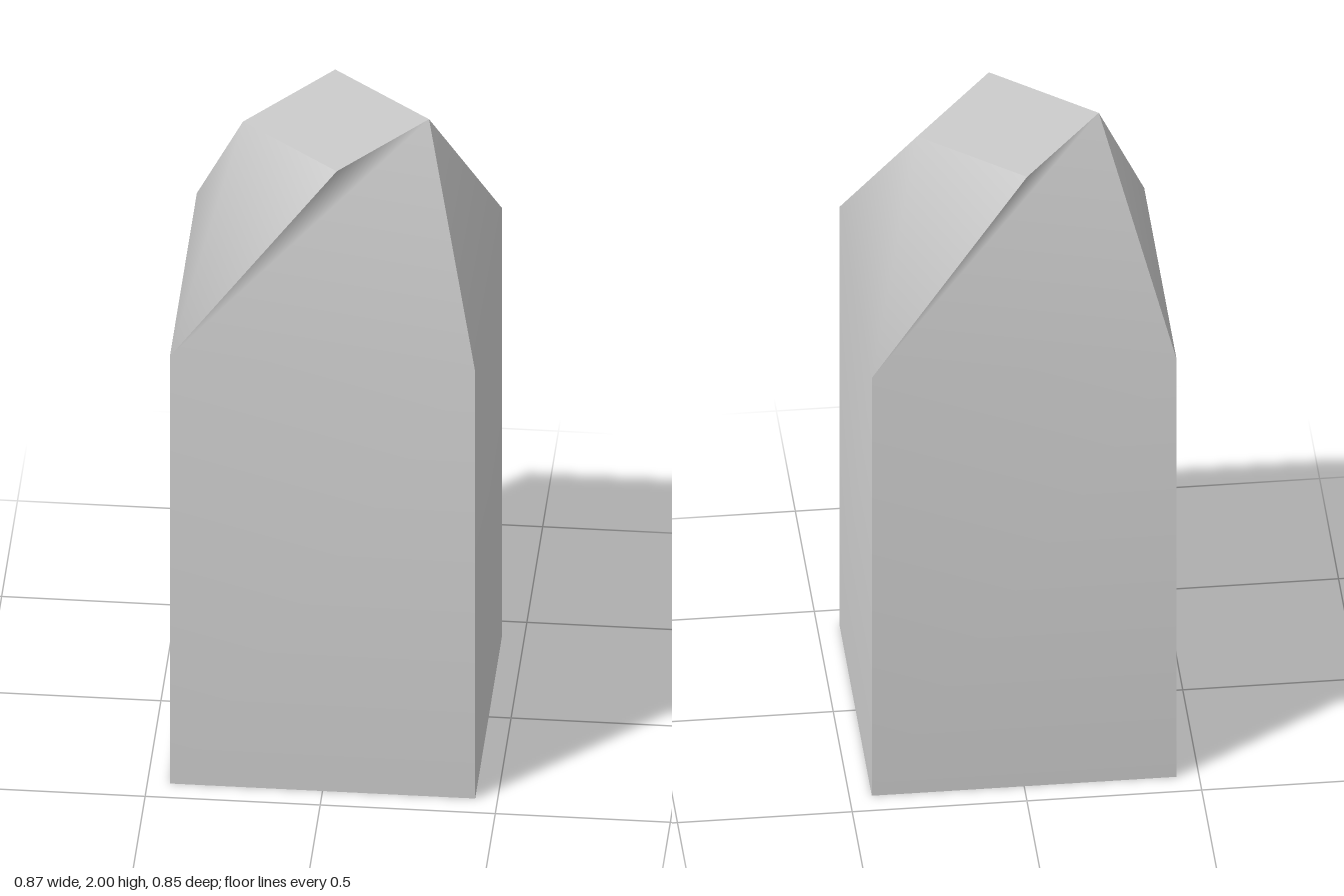
import * as THREE from 'three';

const HALF_X = 0.436, HALF_Z = 0.427, SHOULDER = 1.45, TOP = 2;

// Corners run front-left, front-right, back-right, back-left as seen from the front
const base = [[-HALF_X, HALF_Z], [HALF_X, HALF_Z], [HALF_X, -HALF_Z], [-HALF_X, -HALF_Z]];
// Small twisted square at the top, one corner per base corner
const cap = [[0.026, 0.264], [0.263, -0.03], [-0.026, -0.264], [-0.263, 0.03]];

function facesGeometry(points, index) {
  const g = new THREE.BufferGeometry();
  g.setAttribute('position', new THREE.Float32BufferAttribute(points.flat(), 3));
  g.setIndex(index);
  g.computeVertexNormals();
  return g;
}

// One side, smooth from wall to roof. The roof's twisted four-corner face folds
// inward on the front and back, outward on the left and right.
function sideGeometry(i) {
  const j = (i + 1) % 4;
  const rows = [[base, 0], [base, SHOULDER], [cap, TOP]];
  const points = rows.flatMap(([ring, y]) => [i, j].map((k) => [ring[k][0], y, ring[k][1]]));
  const wall = [0, 1, 3, 0, 3, 2];
  const roof = i % 2 === 0 ? [2, 3, 5, 2, 5, 4] : [2, 3, 4, 3, 5, 4];
  return facesGeometry(points, [...wall, ...roof]);
}

// Flat four-cornered end plate
function plateGeometry(corners, y, index) {
  return facesGeometry(corners.map(([x, z]) => [x, y, z]), index);
}

export function createModel() {
  const group = new THREE.Group();
  group.name = 'twistedTopBlock';
  const material = new THREE.MeshStandardMaterial({ color: 0xcccccc });
  const add = (geometry, name) => {
    const mesh = new THREE.Mesh(geometry, material);
    mesh.name = name;
    group.add(mesh);
  };

  ['frontSide', 'leftSide', 'backSide', 'rightSide'].forEach((name, i) => add(sideGeometry(i), name));
  add(plateGeometry(cap, TOP, [0, 1, 2, 0, 2, 3]), 'topPlate');
  add(plateGeometry(base, 0, [0, 2, 1, 0, 3, 2]), 'bottomPlate');
  return group;
}
